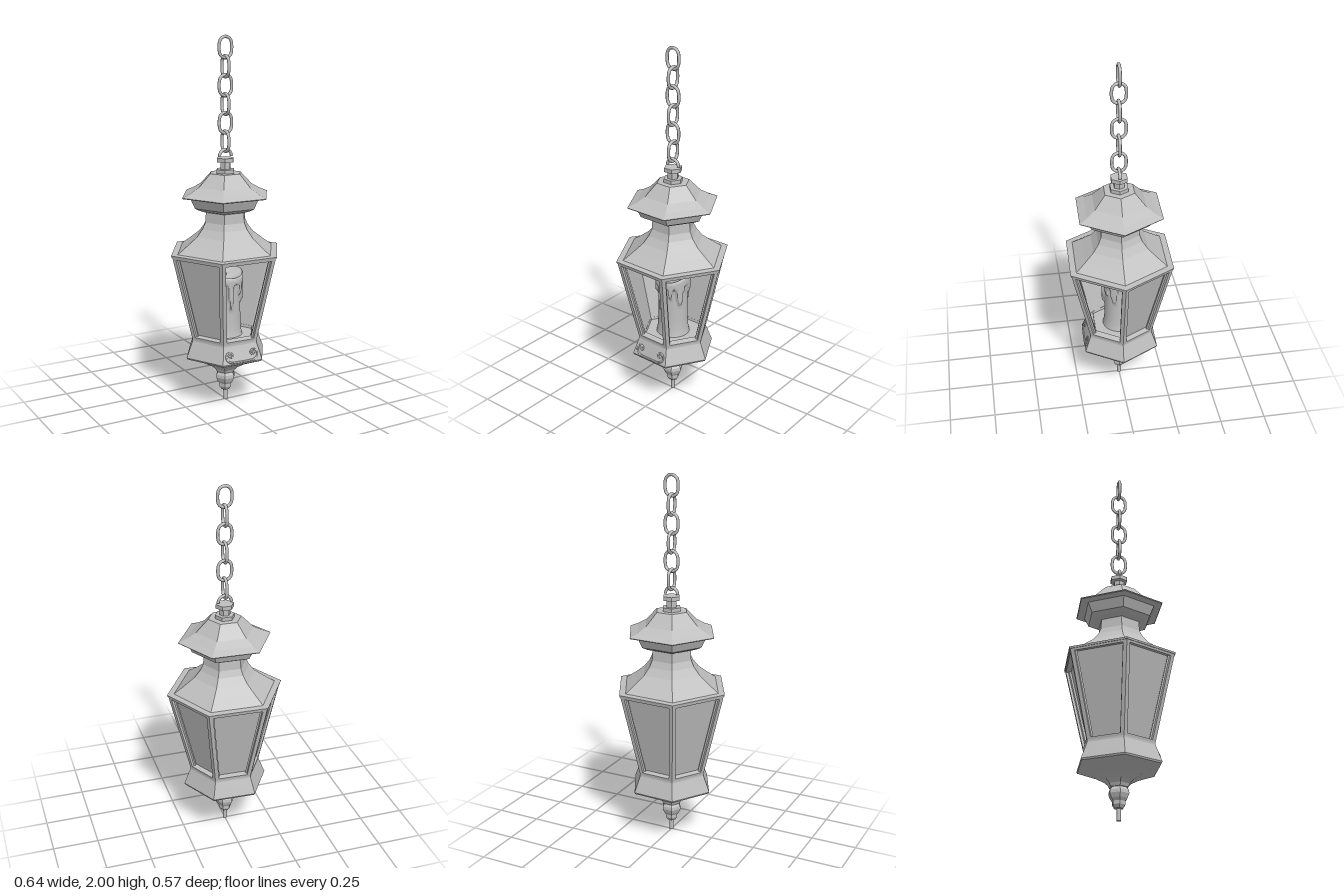
import * as THREE from 'three';
import { toCreasedNormals } from 'three/addons/utils/BufferGeometryUtils.js';

const metal = new THREE.MeshStandardMaterial({ color: 0xbfbfbf });
metal.name = 'plain grey';

function add(parent, name, geometry) {
  const mesh = new THREE.Mesh(geometry, metal);
  mesh.name = name;
  parent.add(mesh);
  return mesh;
}

// Six-sided turned part, profile listed from bottom to top as [radius, height]
function hexLathe(profile) {
  const pts = profile.map(([r, y]) => new THREE.Vector2(r, y));
  return toCreasedNormals(new THREE.LatheGeometry(pts, 6, Math.PI / 2), 0.02);
}

function tube(points, radius, closed, segments) {
  const curve = new THREE.CatmullRomCurve3(points, closed);
  return new THREE.TubeGeometry(curve, segments, radius, 8, closed);
}

function trapezoid(bottomHalf, topHalf, y0, y1, PathType) {
  const p = new PathType();
  p.moveTo(-bottomHalf, y0);
  p.lineTo(bottomHalf, y0);
  p.lineTo(topHalf, y1);
  p.lineTo(-topHalf, y1);
  p.closePath();
  return p;
}

function slab(shape, depth, z) {
  const g = new THREE.ExtrudeGeometry(shape, { depth, bevelEnabled: false });
  return g.translate(0, 0, z);
}

// Window frames on six leaning sides; two are open, the rest hold recessed panes
function buildCage(parent) {
  const yLow = 0.38, yHigh = 0.852, rLow = 0.2, rHigh = 0.315;
  const apothem = Math.cos(Math.PI / 6);
  const run = (rHigh - rLow) * apothem;
  const length = Math.hypot(yHigh - yLow, run);
  const rail = 0.014, stile = 0.021, depth = 0.034;
  const half = (v) => rLow / 2 + ((rHigh - rLow) / 2) * (v / length);
  const inner = (PathType) => trapezoid(
    half(rail) - stile, half(length - rail) - stile, rail, length - rail, PathType);
  const frame = trapezoid(half(0), half(length), 0, length, THREE.Shape);
  frame.holes.push(inner(THREE.Path));
  const frameGeometry = slab(frame, depth, -depth);
  const paneGeometry = slab(inner(THREE.Shape), 0.004, -depth + 0.001);

  for (let i = 0; i < 6; i++) {
    const side = new THREE.Group();
    side.name = 'windowSide';
    side.rotation.y = (i * Math.PI) / 3;
    const lean = new THREE.Group();
    lean.name = 'leaningWindow';
    lean.position.set(0, yLow, rLow * apothem);
    lean.rotation.x = Math.atan2(run, yHigh - yLow);
    add(lean, 'windowFrame', frameGeometry);
    if (i >= 2) add(lean, 'windowPane', paneGeometry);
    side.add(lean);
    parent.add(side);
  }
}

// Candle with a melted collar and drips running down its side
function buildCandle(parent) {
  const profile = [new THREE.Vector2(0, 0.38)];
  for (let i = 0; i <= 36; i++) {
    const y = 0.38 + (i / 36) * 0.36;
    profile.push(new THREE.Vector2(0.081 + 0.012 * Math.exp(-(y - 0.38) / 0.04), y));
  }
  [[0.074, 0.748], [0.066, 0.742], [0.05, 0.728], [0.025, 0.72], [0, 0.718]]
    .forEach(([r, y]) => profile.push(new THREE.Vector2(r, y)));
  const g = new THREE.LatheGeometry(profile, 72);
  // each drip: angle from the front, width, length
  const drips = [[-0.12, 0.17, 0.15], [-0.95, 0.22, 0.06], [0.55, 0.15, 0.07], [1.15, 0.24, 0.11],
    [2.0, 0.2, 0.05], [2.8, 0.22, 0.13], [-1.7, 0.22, 0.1], [-2.5, 0.18, 0.06]];
  const pos = g.attributes.position;
  for (let i = 0; i < pos.count; i++) {
    const x = pos.getX(i), y = pos.getY(i), z = pos.getZ(i);
    const r = Math.hypot(x, z);
    if (r < 0.001) continue;
    const a = Math.atan2(x, z);
    let edge = 0.69;
    for (const [angle, width, len] of drips) {
      const d = Math.atan2(Math.sin(a - angle), Math.cos(a - angle)) / width;
      edge = Math.min(edge, 0.69 - len * Math.exp(-(d ** 4)));
    }
    const swell = 0.016 * THREE.MathUtils.smoothstep(y, edge - 0.014, edge + 0.014);
    const s = r > 0.06 ? (r + swell) / r : 1;
    const dip = 0.032 * Math.max(0, Math.cos(a)) * THREE.MathUtils.smoothstep(y, 0.66, 0.74) * (r / 0.08);
    pos.setXYZ(i, x * s, y - dip, z * s);
  }
  add(parent, 'candle', toCreasedNormals(g, 1.1));
  add(parent, 'wick', new THREE.CylinderGeometry(0.003, 0.008, 0.03, 8).translate(0, 0.727, 0));
}

// Pair of curls on the front of the base
function buildScroll(parent) {
  const scroll = new THREE.Group();
  scroll.name = 'frontScroll';
  scroll.position.set(0, 0.28, 0.206);
  scroll.rotation.x = -Math.atan2(0.031, 0.09);
  const half = [[0.035, 0.007], [0.07, 0.01], [0.09, 0.025], [0.093, 0.045], [0.08, 0.061],
    [0.062, 0.06], [0.054, 0.046], [0.064, 0.037], [0.072, 0.044]];
  const right = half.map(([x, y]) => new THREE.Vector3(x, y, 0));
  const left = half.map(([x, y]) => new THREE.Vector3(-x, y, 0)).reverse();
  add(scroll, 'scrollBar', tube([...left, ...right], 0.005, false, 90));
  for (const s of [-1, 1]) {
    add(scroll, 'scrollTip', new THREE.SphereGeometry(0.007, 10, 8)).position.set(s * 0.072, 0.044, 0);
  }
  parent.add(scroll);
}

// Interlocking links, each turned a quarter from the last, hung from a half ring
function buildChain(parent) {
  const points = [];
  for (const end of [1, -1]) {
    for (let i = 0; i <= 6; i++) {
      const a = (i / 6) * Math.PI;
      points.push(new THREE.Vector3(end * 0.0365 * Math.cos(a), end * (0.0365 * Math.sin(a) + 0.018), 0));
    }
  }
  const link = tube(points, 0.0085, true, 40);
  for (let i = 0; i < 6; i++) {
    const mesh = add(parent, 'chainLink', link);
    mesh.position.y = 1.937 - i * 0.098;
    mesh.rotation.y = i % 2 ? Math.PI / 2 : 0;
  }
  add(parent, 'hangingRing', new THREE.TorusGeometry(0.036, 0.0085, 8, 16, Math.PI)).position.y = 1.368;
}

export function createModel() {
  const model = new THREE.Group();
  model.name = 'hangingLantern';
  const body = new THREE.Group();
  body.name = 'lanternBody';
  body.rotation.y = -0.039;
  model.add(body);

  // Finial below the base
  add(body, 'finialPeg', new THREE.CylinderGeometry(0.012, 0.012, 0.08, 12).translate(0, 0.04, 0));
  add(body, 'finial', hexLathe([[0, 0.06], [0.024, 0.062], [0.036, 0.08], [0.036, 0.098], [0.047, 0.112],
    [0.057, 0.135], [0.055, 0.152], [0.044, 0.166], [0.044, 0.18]]));

  // Flared base with floor
  add(body, 'base', hexLathe([[0, 0.168], [0.052, 0.168], [0.06, 0.185], [0.08, 0.203], [0.125, 0.228],
    [0.232, 0.27], [0.236, 0.279], [0.2, 0.37], [0.2, 0.385], [0, 0.385]]));
  buildScroll(body);
  buildCage(body);
  buildCandle(body);

  // Shoulder rising to the neck
  add(body, 'shoulder', hexLathe([[0, 0.85], [0.318, 0.85], [0.321, 0.86], [0.283, 0.862], [0.225, 0.903],
    [0.17, 0.945], [0.137, 0.985], [0.12, 1.02], [0.116, 1.08], [0, 1.08]]));

  // Vent collar and roof
  add(body, 'ventCollar', hexLathe([[0, 1.075], [0.12, 1.075], [0.15, 1.085], [0.18, 1.1], [0.206, 1.155], [0, 1.155]]));
  add(body, 'roof', hexLathe([[0, 1.152], [0.206, 1.152], [0.25, 1.158], [0.254, 1.163], [0.208, 1.182],
    [0.157, 1.211], [0.09, 1.28], [0, 1.28]]));

  // Stacked cap under the chain
  add(body, 'cap', hexLathe([[0, 1.278], [0.053, 1.278], [0.053, 1.3], [0.03, 1.3], [0.03, 1.335],
    [0.049, 1.338], [0.049, 1.36], [0, 1.36]]));

  buildChain(model);
  return model;
}
